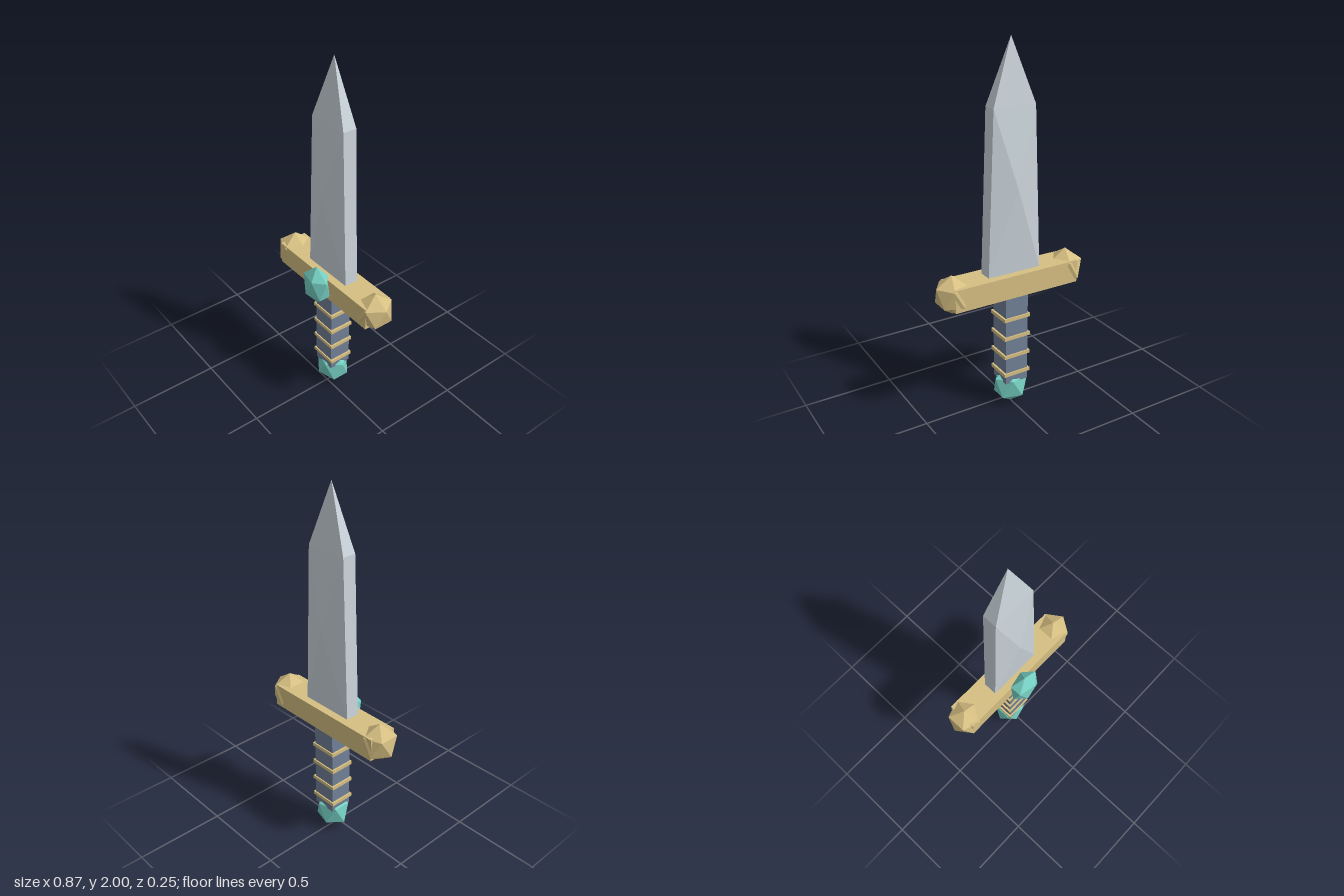
import * as THREE from 'three';

const Z = -0.04; // centre plane of the dagger

const material = (color) => new THREE.MeshStandardMaterial({ color, flatShading: true });

function addMesh(parent, name, geometry, mat, x, y, z) {
  const mesh = new THREE.Mesh(geometry, mat);
  mesh.name = name;
  mesh.position.set(x, y, z);
  parent.add(mesh);
  return mesh;
}

// Icosahedron standing on one corner, stretched to the given radii
function gemGeometry(rx, ry, rz) {
  const geometry = new THREE.IcosahedronGeometry(1, 0);
  geometry.rotateZ(-Math.atan(2 / (1 + Math.sqrt(5))));
  geometry.scale(rx, ry, rz);
  return geometry;
}

// Tapered slab whose two broad faces rise to a central point
function bladeGeometry() {
  const base = 0.8, shoulder = 1.67, tipY = 2, half = 0.0385;
  const positions = [];
  const tri = (...points) => points.forEach((p) => positions.push(...p));
  const tip = [0, tipY, 0];

  for (const s of [1, -1]) { // s = -1 is the same half turned about y
    const a = [-0.154 * s, base, half * s];
    const b = [0.154 * s, base, half * s];
    const c = [0.12 * s, shoulder, half * s];
    const d = [-0.12 * s, shoulder, half * s];
    const ridge = [0, 1.26, 0.076 * s];
    // broad face
    tri(a, b, ridge);
    tri(b, c, ridge);
    tri(c, d, ridge);
    tri(d, a, ridge);
    tri(d, c, tip);
    // narrow edge
    const bBack = [b[0], b[1], -b[2]];
    const cBack = [c[0], c[1], -c[2]];
    tri(b, bBack, cBack);
    tri(b, cBack, c);
    tri(c, cBack, tip);
    // underside
    tri(a, [0, base, 0], b);
    tri(b, [0, base, 0], bBack);
  }

  const geometry = new THREE.BufferGeometry();
  geometry.setAttribute('position', new THREE.Float32BufferAttribute(positions, 3));
  geometry.computeVertexNormals();
  return geometry;
}

export function createModel() {
  const dagger = new THREE.Group();
  dagger.name = 'dagger';

  const steel = material(0xcbd5db);
  const gold = material(0xd6bf82);
  const leather = material(0x718096);
  const jewel = material(0x76d0c3);

  addMesh(dagger, 'blade', bladeGeometry(), steel, 0, 0, Z);

  // Crossguard with a faceted knob on each end
  addMesh(dagger, 'crossguard', new THREE.BoxGeometry(0.74, 0.125, 0.163), gold, 0, 0.7375, Z);
  for (const [name, x] of [['leftKnob', 0.347], ['rightKnob', -0.347]]) {
    addMesh(dagger, name, gemGeometry(0.098, 0.107, 0.103), gold, x, 0.743, Z);
  }
  addMesh(dagger, 'guardGem', gemGeometry(0.098, 0.118, 0.064), jewel, 0, 0.748, 0.07);

  // Grip with four binding bands
  addMesh(dagger, 'grip', new THREE.BoxGeometry(0.136, 0.53, 0.128), leather, 0, 0.42, Z);
  for (let i = 0; i < 4; i++) {
    addMesh(dagger, 'gripBand', new THREE.BoxGeometry(0.158, 0.02, 0.142), gold, 0, 0.213 + i * 0.111, Z);
  }

  addMesh(dagger, 'pommelGem', gemGeometry(0.107, 0.113, 0.092), jewel, 0, 0.113, Z);

  return dagger;
}
